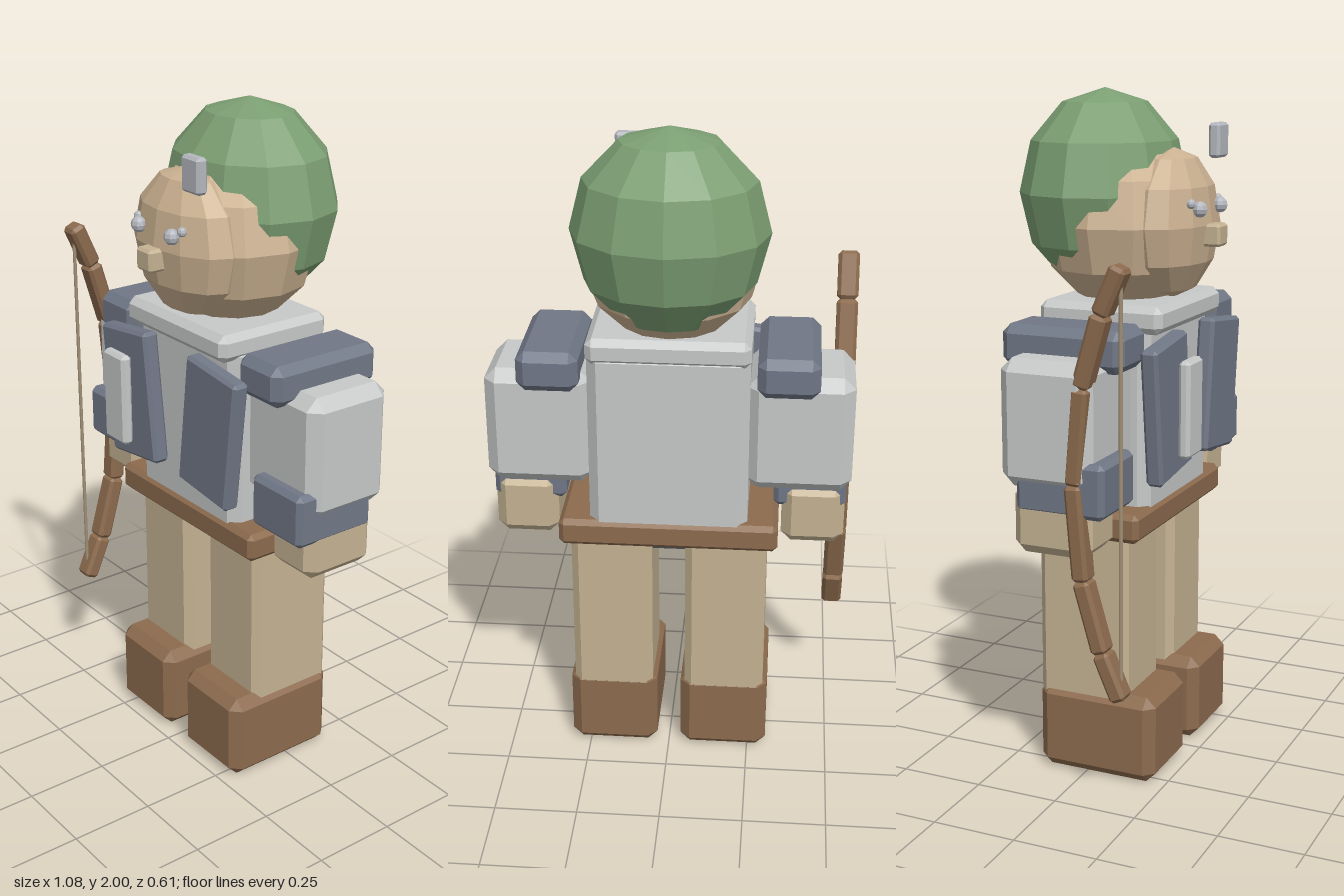
import * as THREE from 'three';
import { ConvexGeometry } from 'three/addons/geometries/ConvexGeometry.js';

function material(name, color) {
  const m = new THREE.MeshStandardMaterial({ color });
  m.name = name;
  return m;
}

// Box with flat chamfers of size c on all edges
function chamferBox(w, h, d, c) {
  const half = [w / 2, h / 2, d / 2];
  const points = [];
  for (const sx of [-1, 1]) for (const sy of [-1, 1]) for (const sz of [-1, 1]) {
    for (let axis = 0; axis < 3; axis++) {
      const p = [sx, sy, sz].map((s, i) => s * (i === axis ? half[i] : half[i] - c));
      points.push(new THREE.Vector3(...p));
    }
  }
  return new ConvexGeometry(points);
}

// Faceted ellipsoid
function facetedBall(rx, ry, rz, cols = 12, rows = 6) {
  const g = new THREE.SphereGeometry(1, cols, rows).scale(rx, ry, rz).toNonIndexed();
  g.computeVertexNormals();
  return g;
}

export function createModel() {
  const model = new THREE.Group();
  model.name = 'archer';

  const skin = material('skin', 0xcbb191);
  const cloth = material('tan cloth', 0xc5b393);
  const green = material('green hair', 0x7c9f73);
  const shirt = material('light grey shirt', 0xc6c9c8);
  const slate = material('slate', 0x707786);
  const leather = material('brown leather', 0x8c6b4e);
  const metal = material('pale metal', 0xb4b8be);
  const cord = material('bow cord', 0xa39278);

  function add(name, geometry, mat, x, y, z, parent = model) {
    const mesh = new THREE.Mesh(geometry, mat);
    mesh.name = name;
    mesh.position.set(x, y, z);
    parent.add(mesh);
    return mesh;
  }

  // Box given by its limits on each axis
  function block(name, mat, [x0, x1], [y0, y1], [z0, z1], c) {
    return add(name, chamferBox(x1 - x0, y1 - y0, z1 - z0, c), mat,
      (x0 + x1) / 2, (y0 + y1) / 2, (z0 + z1) / 2);
  }

  // The same block on the left (+x) and on the right (-x)
  function pair(name, mat, [x0, x1], y, z, c) {
    block(name + 'Left', mat, [x0, x1], y, z, c);
    block(name + 'Right', mat, [-x1, -x0], y, z, c);
  }

  // Head, with hair and face as overlapping ellipsoids
  add('head', facetedBall(0.265, 0.26, 0.25), skin, 0, 1.62, 0);
  add('face', facetedBall(0.21, 0.215, 0.12), skin, 0, 1.62, 0.15);
  add('hair', facetedBall(0.283, 0.295, 0.24), green, 0, 1.705, -0.066);
  block('nose', cloth, [-0.035, 0.035], [1.56, 1.625], [0.235, 0.305], 0.008);
  block('hairClip', metal, [0.103, 0.183], [1.8, 1.9], [0.213, 0.248], 0.008);
  for (const s of [-1, 1]) {
    add('eye', facetedBall(0.023, 0.023, 0.023, 8, 6), metal, s * 0.079, 1.67, 0.262);
    add('eyeCorner', facetedBall(0.014, 0.014, 0.014, 8, 6), metal, s * 0.104, 1.686, 0.245);
  }

  // Body
  block('torso', shirt, [-0.235, 0.235], [0.78, 1.37], [-0.165, 0.17], 0.03);
  block('collar', shirt, [-0.237, 0.237], [1.33, 1.41], [-0.17, 0.21], 0.02);
  block('hips', slate, [-0.23, 0.23], [0.705, 0.83], [-0.12, 0.1], 0.02);
  block('belt', leather, [-0.327, 0.327], [0.745, 0.83], [-0.175, 0.18], 0.015);

  // Arms
  pair('shoulderPad', slate, [0.255, 0.434], [1.25, 1.37], [-0.19, 0.18], 0.025);
  pair('sleeve', shirt, [0.225, 0.537], [0.935, 1.295], [-0.148, 0.13], 0.035);
  pair('cuff', slate, [0.31, 0.525], [0.865, 1.023], [-0.1, 0.167], 0.015);
  pair('hand', cloth, [0.335, 0.522], [0.745, 0.94], [-0.115, 0.122], 0.03);

  // Legs
  pair('leg', cloth, [0.05, 0.295], [0.22, 0.78], [-0.15, 0.132], 0.022);
  pair('boot', leather, [0.037, 0.308], [0.005, 0.27], [-0.15, 0.22], 0.03);

  // Tilted vest panels and the strip on the right one
  for (const s of [-1, 1]) {
    const panel = add('vestPanel', chamferBox(0.23, 0.4, 0.052, 0.01), slate, s * 0.193, 1.12, 0.213);
    panel.rotation.z = -s * 0.12;
  }
  block('chestStrip', metal, [-0.235, -0.128], [0.985, 1.265], [0.263, 0.298], 0.01).material = shirt;

  // Bow: short blocks laid along a curve in the y-z plane
  const bow = new THREE.Group();
  bow.name = 'bow';
  bow.position.set(-0.508, 0.96, 0);
  model.add(bow);
  const path = [[0.6, 0.215], [0.47, 0.158], [0.27, 0.1], [0, 0.077], [-0.27, 0.1], [-0.47, 0.158], [-0.6, 0.215]];
  for (let i = 0; i < path.length - 1; i++) {
    const [y0, z0] = path[i], [y1, z1] = path[i + 1];
    const limb = add('bowLimb', chamferBox(0.062, Math.hypot(y1 - y0, z1 - z0), 0.05, 0.01), leather,
      0, (y0 + y1) / 2, (z0 + z1) / 2, bow);
    limb.rotation.x = Math.atan2(z0 - z1, y0 - y1);
  }
  add('bowString', new THREE.CylinderGeometry(0.006, 0.006, 1.14, 6), cord, 0, 0, 0.213, bow);

  return model;
}
